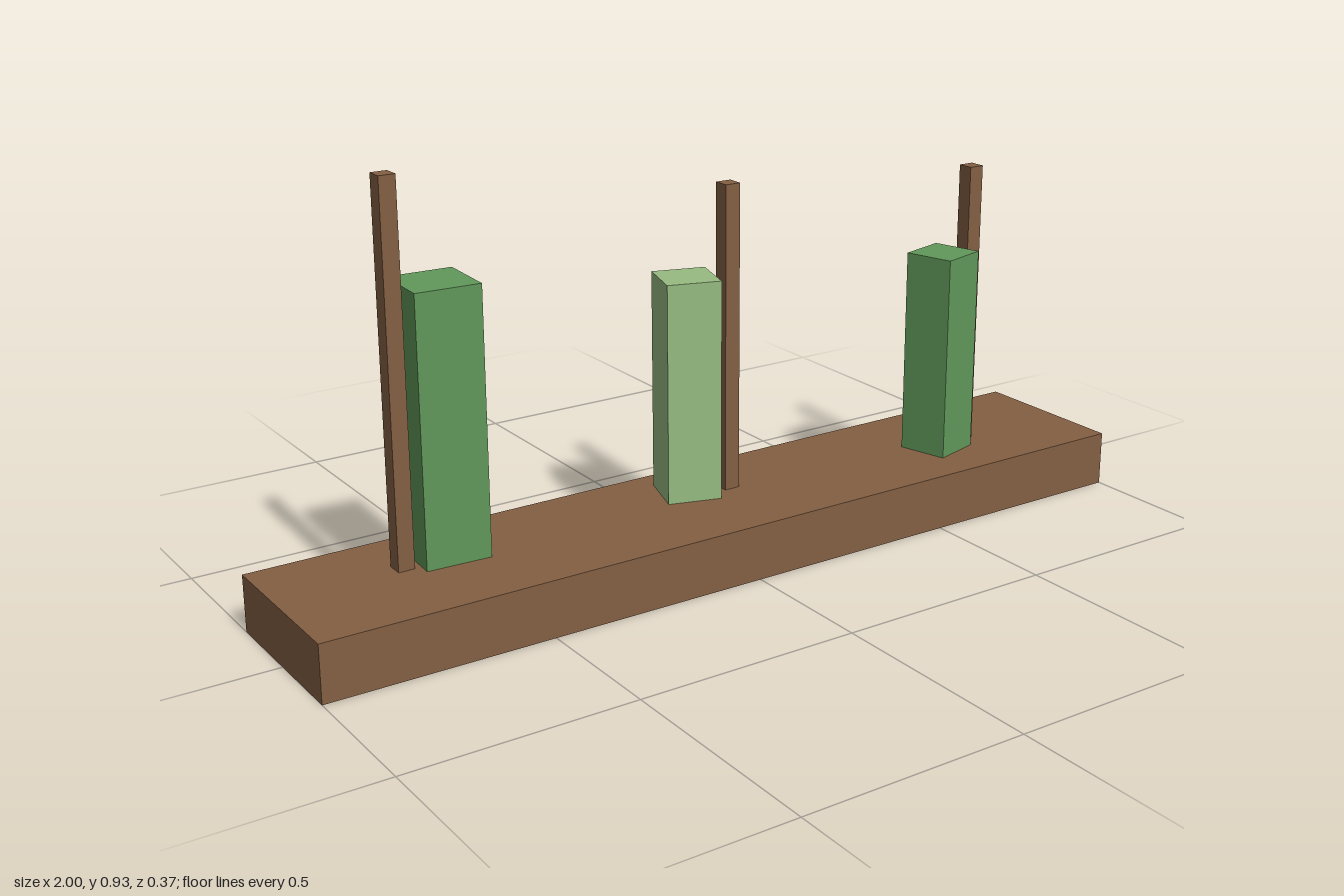
import * as THREE from 'three';

const mat = (name, color, side = THREE.FrontSide) => {
  const m = new THREE.MeshStandardMaterial({ color, side });
  m.name = name;
  return m;
};

// Box standing on y = 0 without its bottom face
function openBox(w, h, d) {
  const g = new THREE.BoxGeometry(w, h, d).translate(0, h / 2, 0);
  const index = Array.from(g.index.array);
  index.splice(18, 6); // bottom face is the fourth of six
  g.setIndex(index);
  g.clearGroups();
  return g;
}

export function createModel() {
  const model = new THREE.Group();
  model.name = 'planter';

  const wood = mat('wood brown', 0x835f43, THREE.DoubleSide);
  const green = mat('leaf green', 0x61985a, THREE.DoubleSide);
  const paleGreen = mat('pale leaf green', 0x97bb82, THREE.DoubleSide);

  const add = (name, material, [w, h, d], [x, y, z], turn = 0) => {
    const mesh = new THREE.Mesh(openBox(w, h, d), material);
    mesh.name = name;
    mesh.position.set(x, y, z);
    mesh.rotation.y = turn;
    model.add(mesh);
  };

  // Tray, hollow underneath
  const top = 0.125;
  add('tray', wood, [2, top, 0.374], [0, 0, 0]);

  // Plants: x, z, width, top height, turn, colour
  [
    [-0.615, -0.06, 0.142, 0.701, -0.05, green],
    [-0.024, -0.059, 0.12, 0.617, -0.29, paleGreen],
    [0.618, 0.028, 0.1155, 0.594, 0.275, green],
  ].forEach(([x, z, w, h, turn, m]) =>
    add('plant', m, [w, h - top, w], [x, top, z], turn));

  // Support stakes: x, z, top height
  [
    [-0.721, -0.038, 0.931],
    [0.069, -0.038, 0.813],
    [0.708, 0.011, 0.781],
  ].forEach(([x, z, h]) =>
    add('stake', wood, [0.036, h - top, 0.037], [x, top, z]));

  return model;
}
